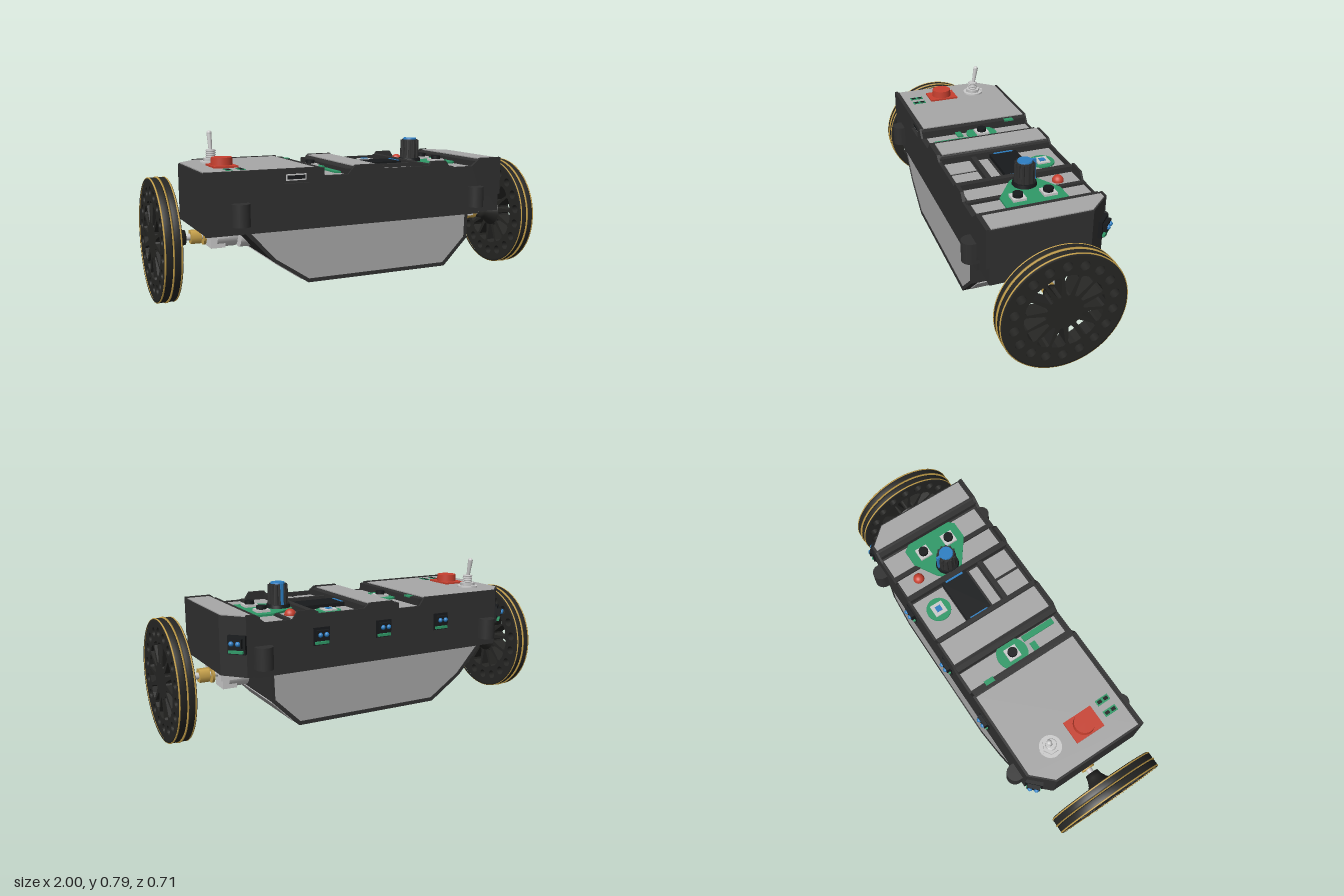
import * as THREE from 'three';

const mat = (color) => new THREE.MeshStandardMaterial({ color });
const M = {
  black: mat(0x303030), tire: mat(0x262624), grey: mat(0xa8a8a8), metal: mat(0xcccccc), gold: mat(0xc9a34c),
  red: mat(0xc8402f), blue: mat(0x2c7fc4), green: mat(0x2f9a68), dark: mat(0x181a1c),
};

export function createModel() {
  const root = new THREE.Group();
  const add = (name, geo, m, x = 0, y = 0, z = 0, parent = root) => {
    const mesh = new THREE.Mesh(geo, M[m]);
    mesh.name = name;
    mesh.position.set(x, y, z);
    parent.add(mesh);
    return mesh;
  };
  const group = (name, x = 0, y = 0, z = 0, parent = root) => {
    const g = new THREE.Group();
    g.name = name;
    g.position.set(x, y, z);
    parent.add(g);
    return g;
  };
  const box = (w, h, d) => new THREE.BoxGeometry(w, h, d);
  const cyl = (r1, r2, h, n = 24) => new THREE.CylinderGeometry(r1, r2, h, n);
  const shape = (pts) => new THREE.Shape(pts.map(([x, y]) => new THREE.Vector2(x, y)));
  const extrude = (s, depth, extra = {}) => new THREE.ExtrudeGeometry(s, { depth, bevelEnabled: false, curveSegments: 14, ...extra });
  // flat plate drawn in x,z whose top lies at y = 0
  const plate = (s, t) => extrude(s, t).rotateX(Math.PI / 2);
  const rect = (x0, x1, z0, z1) => [[x0, z0], [x1, z0], [x1, z1], [x0, z1]];

  // Main body: notched front profile, rear corners chamfered by moving the end section
  const top = [[-0.81, 0.627], [-0.26, 0.627], [-0.23, 0.588], [-0.115, 0.588], [-0.08, 0.627], [0.06, 0.627],
    [0.085, 0.588], [0.615, 0.588], [0.655, 0.627], [0.78, 0.627]];
  const bodyGeo = extrude(shape([[-0.81, 0.35], ...top, [0.78, 0.35]].reverse()), 2, { steps: 2 });
  const p = bodyGeo.attributes.position;
  for (let i = 0; i < p.count; i++) {
    const s = Math.round(p.getZ(i));
    p.setZ(i, [-0.295, -0.195, 0.285][s]);
    if (s === 0 && p.getX(i) < -0.8) p.setX(i, -0.715);
    if (s === 0 && p.getX(i) > 0.77) p.setX(i, 0.69);
  }
  bodyGeo.computeVertexNormals();
  add('body', bodyGeo, 'black');

  // Front and rear rims that stand above the deck
  const rim = (x0, x1, low) => shape([[x0, low], [x0, 0.635], [-0.26, 0.635], [-0.23, 0.592], [-0.11, 0.592], [-0.07, 0.635],
    [0.06, 0.635], [0.09, 0.61], [0.34, 0.61], [0.355, 0.632], [0.44, 0.632], [0.465, 0.595], [0.6, 0.595],
    [0.65, 0.635], [x1, 0.635], [x1, 0.44], [0.66, 0.43], [0.65, low]]);
  const front = rim(-0.81, 0.78, 0.345);
  front.holes.push(shape(rect(-0.435, -0.31, 0.565, 0.618)));
  add('frontRim', extrude(front, 0.016), 'black', 0, 0, 0.284);
  add('rearRim', extrude(rim(-0.715, 0.69, 0.345), 0.01), 'black', 0, 0, -0.3);
  add('portShell', box(0.1, 0.03, 0.008), 'metal', -0.372, 0.592, 0.286);
  add('portOpening', box(0.088, 0.018, 0.01), 'dark', -0.372, 0.592, 0.287);

  // Grey deck plates
  const deck = group('deckPlates');
  const slab = (pts, y) => add('deckPlate', plate(shape(pts), 0.012), 'grey', 0, y, 0, deck);
  slab([[-0.8, 0.275], [-0.8, -0.195], [-0.712, -0.287], [-0.27, -0.287], [-0.27, 0.275]], 0.632);
  slab(rect(-0.075, 0.055, -0.287, 0.27), 0.632);
  slab([[0.66, 0.275], [0.66, -0.287], [0.69, -0.287], [0.772, -0.195], [0.772, 0.275]], 0.632);
  for (const r of [[-0.225, -0.12, -0.285, 0.27], [0.09, 0.32, -0.285, -0.11], [0.09, 0.195, 0.14, 0.27], [0.21, 0.325, 0.14, 0.27],
    [0.1, 0.32, 0.05, 0.1], [0.365, 0.47, -0.285, 0.27], [0.5, 0.61, -0.285, 0.27]]) slab(rect(...r), 0.592);

  // Black ribs across the recesses
  const ribs = group('deckRibs');
  for (const [x, w, h] of [[-0.245, 0.03, 0.628], [-0.1, 0.03, 0.618], [0.075, 0.025, 0.622], [0.345, 0.03, 0.618], [0.482, 0.022, 0.6], [0.635, 0.03, 0.62]])
    add('rib', box(w, h - 0.56, 0.58), 'black', x, (h + 0.56) / 2, 0, ribs);
  add('crossRib', box(0.27, 0.04, 0.025), 'black', 0.21, 0.59, 0.12, ribs);
  add('screen', box(0.24, 0.02, 0.14), 'dark', 0.21, 0.6, -0.035);
  for (const x of [0.092, 0.325]) add('screenClip', box(0.01, 0.012, 0.1), 'blue', x, 0.607, -0.035);

  // Lower hull: framed front and rear panels joined by side strips
  const hull = [[-0.63, 0.35], [-0.49, 0.2], [-0.32, 0.085], [0.44, 0.085], [0.575, 0.22], [0.58, 0.35]];
  const inner = [[-0.605, 0.35], [-0.48, 0.213], [-0.315, 0.103], [0.433, 0.103], [0.56, 0.228], [0.564, 0.35]];
  const lower = group('lowerHull');
  for (const s of [1, -1]) {
    add('hullFrame', extrude(shape([...hull, ...[...inner].reverse()]), 0.03), 'black', 0, 0, s > 0 ? 0.27 : -0.3, lower);
    add('hullPanel', extrude(shape(inner), 0.014), 'grey', 0, 0, s > 0 ? 0.282 : -0.296, lower);
  }
  hull.slice(0, -1).forEach(([x, y], i) => {
    if (i === 2) return;
    const [u, v] = hull[i + 1];
    const len = Math.hypot(u - x, v - y);
    const side = group('hullSide', (x + u) / 2, (y + v) / 2, 0, lower);
    side.rotation.z = Math.atan2(v - y, u - x);
    add('sideStrip', box(len, 0.014, 0.58), 'black', 0, 0.008, 0, side);
    if (i === 1 || i === 3) add('sidePanel', box(len - 0.04, 0.006, 0.53), 'grey', 0, -0.001, 0, side);
  });
  const bottom = shape(rect(-0.32, 0.44, -0.298, 0.298));
  bottom.holes.push(shape(rect(-0.27, 0.39, -0.25, 0.25)));
  add('bottomFrame', plate(bottom, 0.015), 'black', 0, 0.1, 0, lower);
  add('battery', box(0.5, 0.05, 0.2), 'black', 0.05, 0.32, 0, lower);

  // Rounded bumpers on the front and rear faces
  for (const x of [-0.65, 0.615]) for (const s of [1, -1]) {
    const bump = group('bumper', x, 0.438, s * 0.315);
    add('bumperPost', cyl(0.042, 0.042, 0.105), 'black', 0, 0, 0, bump);
    add('bumperBase', box(0.084, 0.105, 0.04), 'black', 0, 0, -s * 0.02, bump);
  }

  // Wheel outline with round holes and tapered slots
  const disc = new THREE.Shape().absarc(0, 0, 0.288, 0, Math.PI * 2);
  for (let i = 0; i < 18; i++) {
    const a = ((i + 0.5) * Math.PI) / 9;
    disc.holes.push(new THREE.Path().absarc(Math.cos(a) * 0.232, Math.sin(a) * 0.232, 0.023, 0, Math.PI * 2, true));
  }
  for (let i = 0; i < 14; i++) {
    const a = (i * Math.PI) / 7 + 0.1;
    const at = (r, w) => new THREE.Vector2(Math.cos(a) * r - Math.sin(a) * w, Math.sin(a) * r + Math.cos(a) * w);
    const slot = [[0.088, 0.008], [0.084, 0], [0.088, -0.008], [0.172, -0.033], [0.183, -0.028], [0.188, 0], [0.183, 0.028], [0.172, 0.033]];
    disc.holes.push(new THREE.Path(slot.map(([r, w]) => at(r, w))));
  }
  const wheelGeo = extrude(disc, 0.07, { curveSegments: 24 }).rotateY(Math.PI / 2);
  const lathe = (pts, n = 72) => new THREE.LatheGeometry(pts.map(([r, y]) => new THREE.Vector2(r, y)), n).rotateZ(-Math.PI / 2);
  const tireGeo = lathe([[0.28, 0], [0.289, 0], [0.293, 0.005], [0.293, 0.033], [0.289, 0.039], [0.28, 0.039]]);
  const bandGeo = lathe([[0.286, -0.003], [0.297, -0.003], [0.297, 0.003], [0.286, 0.003]]);
  const edgeGeo = new THREE.TorusGeometry(0.291, 0.004, 6, 72).rotateY(Math.PI / 2);
  const hubGeo = lathe([[0, -0.085], [0.035, -0.085], [0.04, -0.06], [0.052, -0.035], [0.084, 0], [0.084, 0.01]], 32);
  const axial = (r, h, n = 24) => cyl(r, r, h, n).rotateZ(Math.PI / 2);

  for (const s of [1, -1]) {
    const drive = group(s > 0 ? 'leftDrive' : 'rightDrive', 0, 0.298, 0);
    drive.rotation.y = s > 0 ? 0 : Math.PI;
    const wheel = group('wheel', 0, 0, s * 0.025, drive);
    add('wheelDisc', wheelGeo, 'tire', 0.924, 0, 0, wheel);
    for (const x of [0.915, 0.96]) add('tire', tireGeo, 'tire', x, 0, 0, wheel);
    add('goldBand', bandGeo, 'gold', 0.957, 0, 0, wheel);
    for (const x of [0.921, 0.994]) add('goldEdge', edgeGeo, 'gold', x, 0, 0, wheel);
    add('hub', hubGeo, 'tire', 0.925, 0, 0, wheel);
    add('axle', axial(0.016, 0.2), 'metal', 0.76, 0, 0, wheel);
    add('coupling', axial(0.036, 0.05, 6), 'gold', 0.79, 0, 0, wheel);
    add('couplingFlange', axial(0.042, 0.012), 'gold', 0.75, 0, 0, wheel);
    // motor and its mount
    add('motor', axial(0.055, 0.42), 'metal', 0.36, -0.02, 0, drive);
    add('gearbox', axial(0.065, 0.1), 'metal', 0.64, 0, 0, drive);
    add('mountBlock', box(0.07, 0.1, 0.1), 'metal', 0.685, -0.012, 0, drive);
    for (const z of [-0.09, 0.09]) add('mountEar', box(0.1, 0.045, 0.045), 'metal', 0.7, 0.02, z, drive);
    add('mountBridge', box(0.06, 0.04, 0.2), 'metal', 0.69, 0.035, 0, drive);
  }

  // Rear distance sensors, corner ones turned outward
  for (const [x, z, a] of [[-0.36, -0.292, 0], [-0.02, -0.292, 0], [0.32, -0.292, 0], [-0.745, -0.272, 0.78], [0.725, -0.272, -0.78]]) {
    const sensor = group('rearSensor', x, 0.512, z);
    sensor.rotation.y = a;
    add('sensorPocket', box(0.085, 0.085, 0.018), 'dark', 0, -0.01, -0.002, sensor);
    add('sensorBoard', box(0.07, 0.012, 0.03), 'green', 0, -0.04, -0.008, sensor);
    add('sensorHousing', box(0.062, 0.042, 0.03), 'dark', 0, 0, -0.015, sensor);
    for (const k of [-0.016, 0.016]) add('sensorEye', new THREE.SphereGeometry(0.012, 14, 10), 'blue', k, 0, -0.03, sensor);
  }

  // Emergency button and indicator slots
  add('buttonBase', box(0.115, 0.012, 0.155), 'red', -0.66, 0.635, 0.06);
  add('redButton', cyl(0.05, 0.052, 0.04, 32), 'red', -0.66, 0.657, 0.06);
  for (const x of [-0.675, -0.613]) {
    add('connector', box(0.03, 0.004, 0.07), 'green', x, 0.632, 0.205);
    for (const z of [0.188, 0.222]) add('connectorPin', box(0.016, 0.004, 0.022), 'dark', x, 0.634, z);
  }

  // Toggle switch
  const toggle = group('toggleSwitch', -0.66, 0.63, -0.13);
  add('washer', cyl(0.054, 0.054, 0.008, 24), 'metal', 0, 0.006, 0, toggle);
  add('washerTab', box(0.02, 0.012, 0.012), 'metal', 0, 0.01, -0.05, toggle);
  add('nut', cyl(0.04, 0.04, 0.016, 6), 'metal', 0, 0.018, 0, toggle);
  add('bushing', cyl(0.022, 0.022, 0.065), 'metal', 0, 0.034, 0, toggle);
  for (let i = 0; i < 4; i++) add('thread', new THREE.TorusGeometry(0.022, 0.004, 6, 24).rotateX(Math.PI / 2), 'metal', 0, 0.032 + i * 0.01, 0, toggle);
  add('lever', cyl(0.013, 0.008, 0.1, 16), 'metal', 0, 0.1, -0.011, toggle).rotation.x = -0.18;
  add('leverTip', new THREE.SphereGeometry(0.013, 16, 10), 'metal', 0, 0.147, -0.019, toggle);

  // Deck electronics
  const pushButton = (x, z, y) => {
    add('buttonCase', box(0.065, 0.012, 0.065), 'metal', x, y + 0.006, z);
    add('buttonCap', cyl(0.024, 0.024, 0.022), 'dark', x, y + 0.018, z);
  };
  add('buttonBoard', cyl(0.08, 0.08, 0.008, 32), 'green', -0.175, 0.6, -0.015);
  pushButton(-0.175, -0.015, 0.604);
  add('boardStem', box(0.03, 0.008, 0.18), 'green', -0.14, 0.598, 0.16);
  add('boardArm', box(0.075, 0.008, 0.03), 'green', -0.215, 0.598, 0.1);
  add('boardTab', box(0.025, 0.008, 0.05), 'green', -0.237, 0.626, -0.19);
  add('lightBoard', cyl(0.062, 0.062, 0.01, 32), 'green', 0.225, 0.594, -0.19);
  add('lightHousing', box(0.065, 0.012, 0.065), 'metal', 0.225, 0.6, -0.19);
  add('lightLens', box(0.03, 0.006, 0.03), 'blue', 0.225, 0.606, -0.19);
  add('redLamp', new THREE.SphereGeometry(0.028, 20, 12), 'red', 0.425, 0.595, -0.185);
  add('controlBoard', plate(shape([[0.37, 0.04], [0.34, 0.0], [0.35, -0.06], [0.39, -0.1], [0.5, -0.165], [0.59, -0.165], [0.615, -0.13],
    [0.615, 0.11], [0.59, 0.135], [0.5, 0.135]]), 0.01), 'green', 0, 0.603, 0);
  pushButton(0.53, -0.09, 0.603);
  pushButton(0.53, 0.06, 0.603);

  // Control knob with fluted skirt, blue cap and pointer
  const knob = group('controlKnob', 0.413, 0.6, -0.02);
  add('knobSkirt', cyl(0.056, 0.06, 0.02, 32), 'dark', 0, 0.01, 0, knob);
  add('knobBody', cyl(0.041, 0.048, 0.118, 32), 'black', 0, 0.06, 0, knob);
  for (let i = 0; i < 12; i++) {
    const a = (i * Math.PI) / 6;
    add('knobFlute', cyl(0.006, 0.008, 0.1, 8), 'black', Math.cos(a) * 0.043, 0.065, Math.sin(a) * 0.043, knob);
  }
  add('knobCap', cyl(0.034, 0.036, 0.008, 32), 'blue', 0, 0.122, 0, knob);
  add('knobPointer', box(0.012, 0.11, 0.03), 'blue', 0, 0.07, -0.04, knob);
  return root;
}
